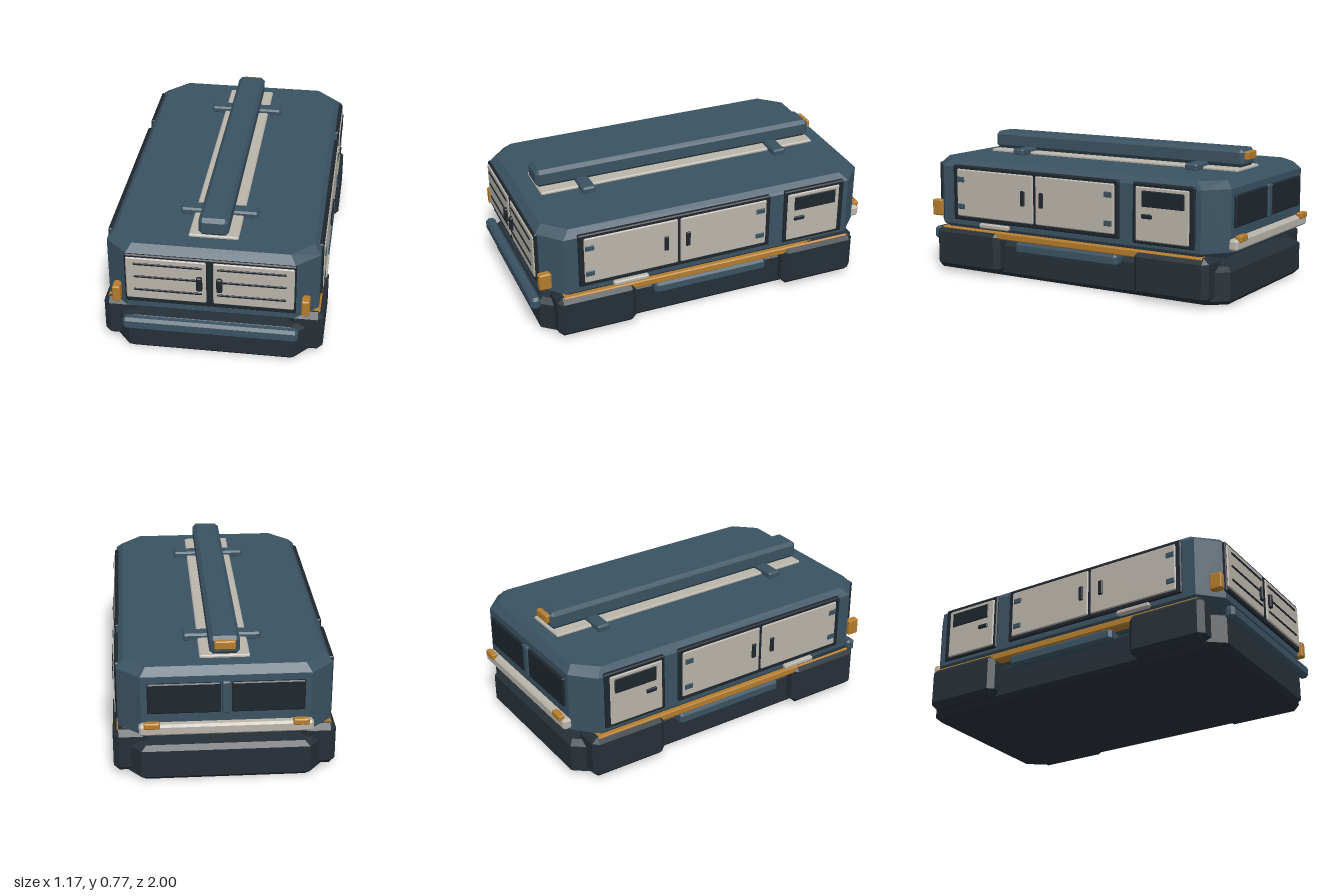
import * as THREE from 'three';
import { ConvexGeometry } from 'three/addons/geometries/ConvexGeometry.js';

const paint = (color) => new THREE.MeshStandardMaterial({ color, flatShading: true });
const blue = paint(0x3a5262);
const dark = paint(0x262f37);
const black = paint(0x1e262d);
const pale = paint(0xbab5ab);
const amber = paint(0xb57d2c);

// Box between two corners with every edge chamfered by c
function block(parent, name, mat, [x0, x1], [y0, y1], [z0, z1], c = 0.006) {
  const hx = (x1 - x0) / 2, hy = (y1 - y0) / 2, hz = (z1 - z0) / 2;
  const k = Math.min(c, hx * 0.6, hy * 0.6, hz * 0.6);
  const points = [];
  for (const sx of [-1, 1]) for (const sy of [-1, 1]) for (const sz of [-1, 1]) {
    points.push(
      new THREE.Vector3(sx * hx, sy * (hy - k), sz * (hz - k)),
      new THREE.Vector3(sx * (hx - k), sy * hy, sz * (hz - k)),
      new THREE.Vector3(sx * (hx - k), sy * (hy - k), sz * hz));
  }
  const mesh = new THREE.Mesh(new ConvexGeometry(points), mat);
  mesh.position.set((x0 + x1) / 2, (y0 + y1) / 2, (z0 + z1) / 2);
  mesh.name = name;
  parent.add(mesh);
  return mesh;
}

// Hull with cut corners, from levels of [y, half width, half length, cut in x, cut in z]
function cutHull(parent, name, mat, levels) {
  const points = [];
  for (const [y, w, l, cx, cz] of levels)
    for (const sx of [-1, 1]) for (const sz of [-1, 1]) {
      points.push(
        new THREE.Vector3(sx * w, y, sz * (l - cz)),
        new THREE.Vector3(sx * (w - cx), y, sz * l));
    }
  const mesh = new THREE.Mesh(new ConvexGeometry(points), mat);
  mesh.name = name;
  parent.add(mesh);
}

function sidePanels(s) {
  const g = new THREE.Group();
  g.name = s > 0 ? 'leftSide' : 'rightSide';
  const put = (name, mat, x0, x1, y, z, c) =>
    block(g, name, mat, s > 0 ? [x0, x1] : [-x1, -x0], y, z, c);

  // Double cargo doors
  put('cargoFrame', black, 0.54, 0.568, [0.31, 0.625], [-0.35, 0.76]);
  for (const [z0, z1, handle, hinge] of [[0.2, 0.73, 0.255, 0.675], [-0.325, 0.185, 0.13, -0.312]]) {
    put('cargoDoor', pale, 0.55, 0.574, [0.333, 0.605], [z0, z1]);
    put('cargoHandle', black, 0.57, 0.583, [0.43, 0.515], [handle, handle + 0.026]);
    for (const y of [0.375, 0.53])
      put('cargoHinge', blue, 0.57, 0.579, [y, y + 0.03], [hinge, hinge + 0.05]);
  }

  // Cab door
  put('cabFrame', black, 0.54, 0.568, [0.3, 0.625], [-0.805, -0.435]);
  put('cabDoor', pale, 0.55, 0.574, [0.316, 0.605], [-0.775, -0.455]);
  put('cabWindow', black, 0.565, 0.578, [0.5, 0.586], [-0.75, -0.495]);
  put('cabHandle', black, 0.57, 0.583, [0.438, 0.462], [-0.558, -0.495]);

  // Trim, steps and fenders
  put('amberSill', amber, 0.5, 0.566, [0.222, 0.262], [-0.85, 0.85]);
  put('smallStep', pale, 0.54, 0.582, [0.278, 0.304], [0.37, 0.57]);
  put('sideStep', blue, 0.48, 0.572, [0.155, 0.222], [-0.335, 0.33], 0.015);
  put('frontFender', dark, 0.4, 0.587, [0.02, 0.262], [0.44, 0.885], 0.03);
  put('rearFender', dark, 0.4, 0.587, [0.02, 0.262], [-0.885, -0.44], 0.03);
  return g;
}

export function createModel() {
  const root = new THREE.Group();
  root.name = 'vehicle';

  // Main shell and lower base
  cutHull(root, 'body', blue, [
    [0.245, 0.52, 0.905, 0.11, 0.115], [0.282, 0.558, 0.948, 0.12, 0.112],
    [0.612, 0.558, 0.948, 0.12, 0.112], [0.652, 0.52, 0.91, 0.11, 0.115]]);
  cutHull(root, 'base', dark, [
    [0, 0.49, 0.925, 0.075, 0.09], [0.025, 0.515, 0.95, 0.075, 0.09],
    [0.178, 0.515, 0.95, 0.075, 0.09], [0.203, 0.49, 0.925, 0.075, 0.09]]);

  root.add(sidePanels(1), sidePanels(-1));

  // Front doors
  block(root, 'frontFrame', black, [-0.445, 0.445], [0.318, 0.612], [0.93, 0.96]);
  for (const s of [-1, 1]) {
    const span = (a, b) => (s > 0 ? [a, b] : [-b, -a]);
    block(root, 'frontDoor', pale, span(0.018, 0.437), [0.345, 0.597], [0.94, 0.967]);
    for (const y of [0.404, 0.485, 0.562])
      block(root, 'frontSlat', black, span(0.04, 0.395), [y - 0.006, y + 0.006], [0.96, 0.972], 0.002);
    block(root, 'frontHandle', black, span(0.037, 0.067), [0.428, 0.51], [0.96, 0.985]);
    block(root, 'frontLamp', amber, span(0.474, 0.516), [0.307, 0.4], [0.895, 0.963]);

    // Rear windows and lamps
    block(root, 'rearWindow', black, span(0.028, 0.405), [0.405, 0.575], [-0.962, -0.93]);
    block(root, 'rearLamp', amber, span(0.342, 0.425), [0.335, 0.37], [-1, -0.965]);
  }
  block(root, 'rearDivider', blue, [-0.022, 0.022], [0.4, 0.58], [-0.965, -0.93]);

  // Bumpers
  block(root, 'frontBumper', blue, [-0.463, 0.463], [0.155, 0.226], [0.945, 1], 0.015);
  block(root, 'rearBumper', pale, [-0.45, 0.45], [0.29, 0.352], [-0.988, -0.935], 0.012);

  // Roof rail with its mat, brackets and rear beacon
  block(root, 'roofMat', pale, [-0.13, 0.13], [0.64, 0.666], [-0.83, 0.815]);
  block(root, 'roofRail', blue, [-0.079, 0.079], [0.666, 0.767], [-0.832, 0.825], 0.02);
  for (const z of [-0.583, 0.567])
    block(root, 'roofBracket', blue, [-0.207, 0.207], [0.645, 0.687], [z - 0.038, z + 0.038], 0.01);
  block(root, 'roofBeacon', amber, [-0.055, 0.055], [0.705, 0.752], [-0.853, -0.82]);

  return root;
}
